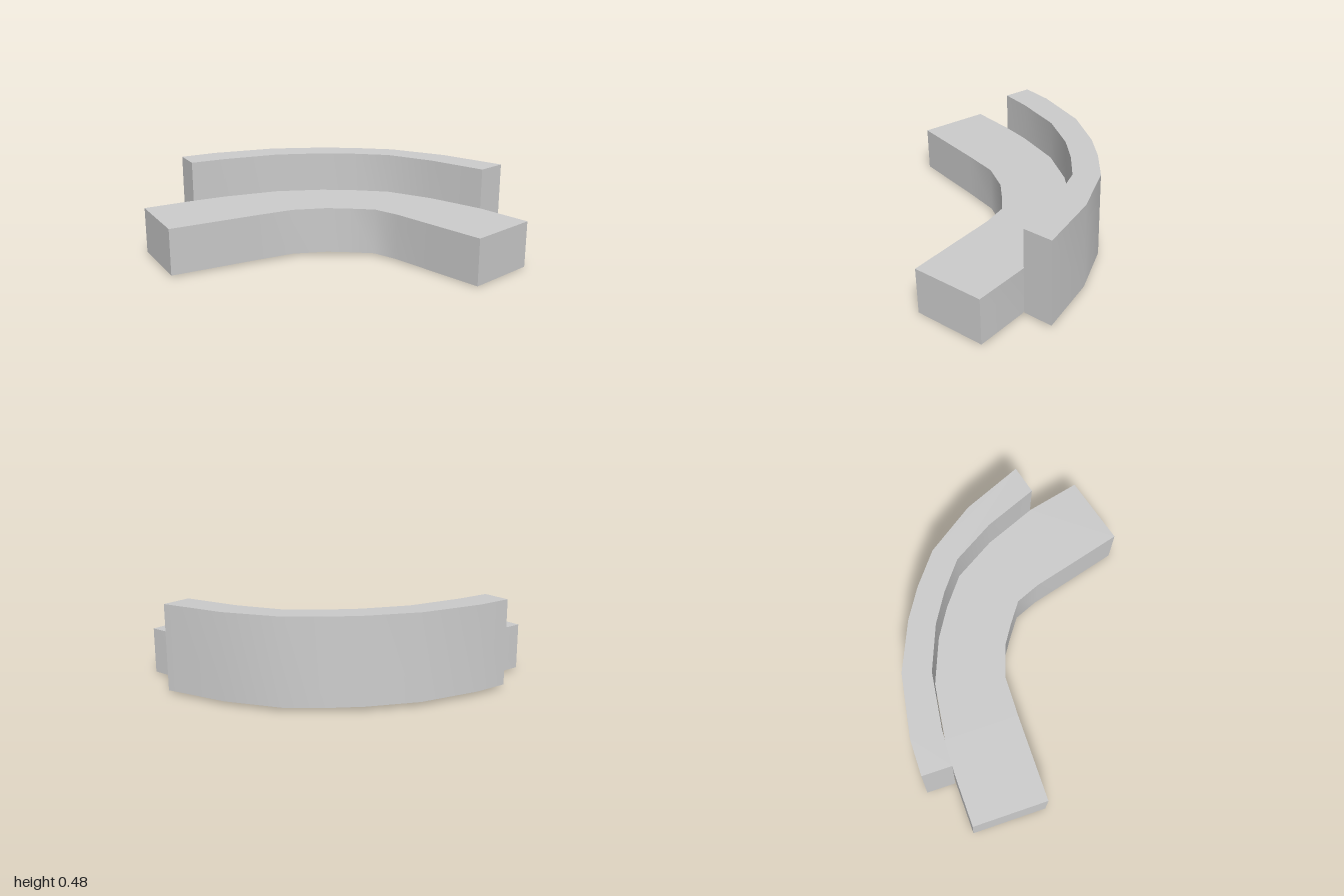
import * as THREE from 'three';
import { toCreasedNormals } from 'three/addons/utils/BufferGeometryUtils.js';

// Plan points are [x, z]
const backOuter = [[-0.88, -0.125], [-0.73, -0.24], [-0.43, -0.4], [-0.155, -0.47],
  [0.03, -0.49], [0.25, -0.49], [0.55, -0.4], [0.86, -0.235]];
const backInner = [[-0.785, -0.003], [-0.635, -0.11], [-0.375, -0.26], [-0.13, -0.33],
  [0.05, -0.35], [0.245, -0.35], [0.49, -0.26], [0.76, -0.11]];
const seatFront = [[-1, 0.17], [-0.757, 0.483], [-0.39, 0.2], [-0.22, 0.075], [-0.045, 0.015],
  [0.07, 0.005], [0.21, 0], [0.335, 0.07], [0.51, 0.2], [0.757, 0.382], [0.995, 0.075]];

// Slight overall tilt of the piece
const TILT_Z = 0.02, TILT_X = 0.005;

function curvedBlock(name, plan, height, material) {
  const shape = new THREE.Shape(plan.map(([x, z]) => new THREE.Vector2(x, -z)));
  const geometry = new THREE.ExtrudeGeometry(shape, { depth: height, bevelEnabled: false });
  geometry.rotateX(-Math.PI / 2);
  const p = geometry.attributes.position;
  for (let i = 0; i < p.count; i++) {
    const x = p.getX(i), y = p.getY(i), z = p.getZ(i);
    p.setXYZ(i, x + TILT_X * (y - height), y + 0.0117 - TILT_Z * z - TILT_X * x, z + TILT_Z * (y - height));
  }
  const mesh = new THREE.Mesh(toCreasedNormals(geometry, 0.75), material);
  mesh.name = name;
  return mesh;
}

export function createModel() {
  const group = new THREE.Group();
  group.name = 'curvedSofa';
  const material = new THREE.MeshStandardMaterial({ color: 0xcccccc });

  // Low seat, bent around the front and running past the backrest at both ends
  group.add(curvedBlock('seat', [...seatFront, ...[...backInner].reverse()], 0.246, material));
  // Tall backrest wrapped along the rear edge of the seat
  group.add(curvedBlock('backrest', [...backInner, ...[...backOuter].reverse()], 0.458, material));
  return group;
}
